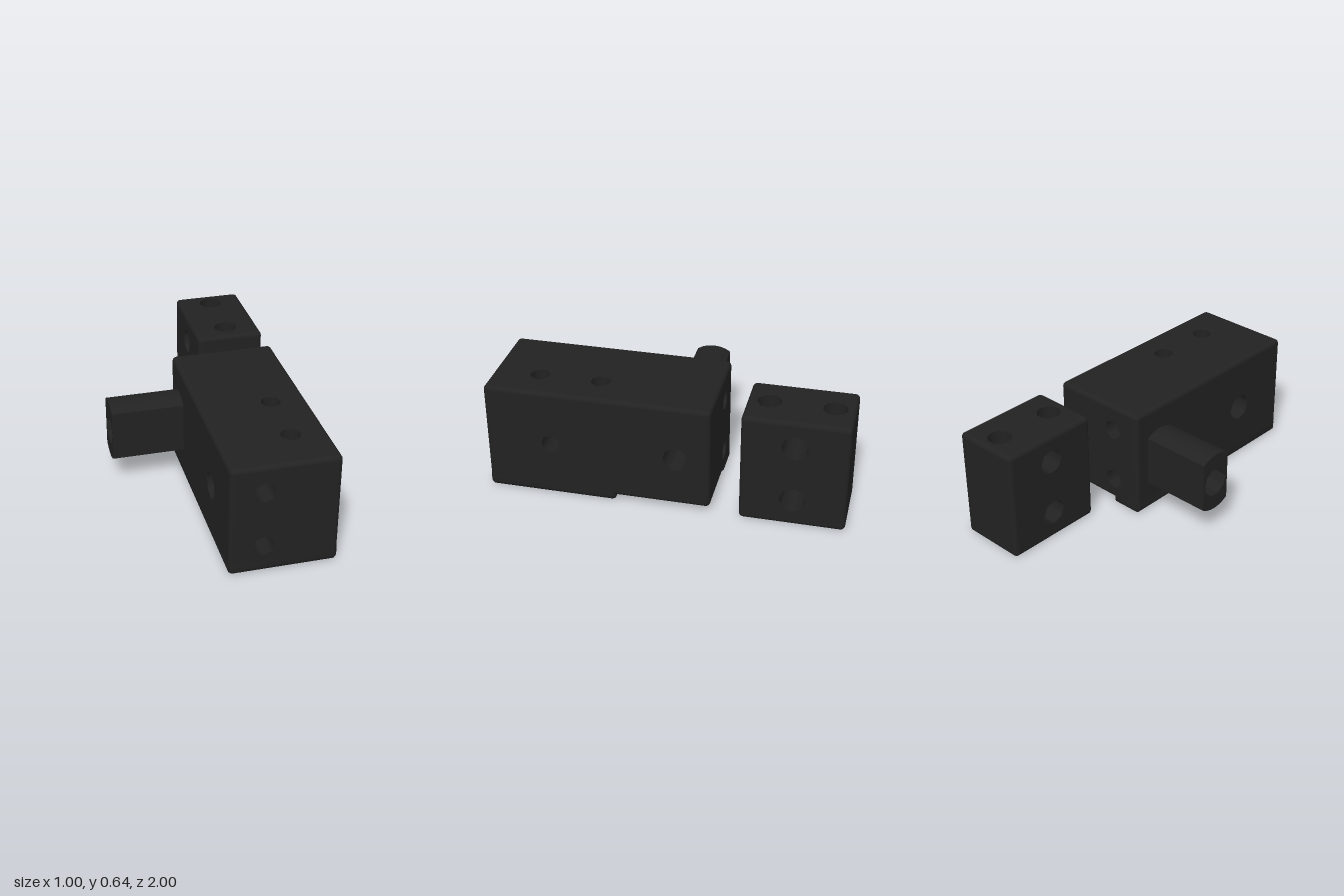
import * as THREE from 'three';
import { toCreasedNormals } from 'three/addons/utils/BufferGeometryUtils.js';
import { RoundedBoxGeometry } from 'three/addons/geometries/RoundedBoxGeometry.js';

const R = 0.025; // edge rounding
const material = new THREE.MeshStandardMaterial({ color: 0x222222, side: THREE.DoubleSide });
const V2 = (x, y) => new THREE.Vector2(x, y);

// Right-handed frame whose third axis is the given axis (0 x, 1 y, 2 z), pointing along sign.
function frame(axis, sign = 1) {
  const unit = (i, s) => new THREE.Vector3().setComponent(i % 3, s);
  return new THREE.Matrix4().makeBasis(unit(axis + 1, 1), unit(axis + 2, sign), unit(axis, sign));
}

function add(group, name, geometry) {
  const mesh = new THREE.Mesh(geometry, material);
  mesh.name = name;
  group.add(mesh);
  return mesh;
}

// Keeps only the triangles whose three normals do not all pass the test.
function dropFaces(source, test) {
  const g = source.index ? source.toNonIndexed() : source;
  const p = g.attributes.position, n = g.attributes.normal, pos = [], nor = [];
  const normal = new THREE.Vector3();
  for (let i = 0; i < p.count; i += 3) {
    const ids = [i, i + 1, i + 2];
    if (ids.every((k) => test(normal.fromBufferAttribute(n, k)))) continue;
    for (const k of ids) {
      pos.push(p.getX(k), p.getY(k), p.getZ(k));
      nor.push(n.getX(k), n.getY(k), n.getZ(k));
    }
  }
  const out = new THREE.BufferGeometry();
  out.setAttribute('position', new THREE.Float32BufferAttribute(pos, 3));
  out.setAttribute('normal', new THREE.Float32BufferAttribute(nor, 3));
  return out;
}

const circle = (u, v, r, n) => Array.from({ length: n }, (_, i) => {
  const a = (i / n) * Math.PI * 2;
  return V2(u + r * Math.sin(a), v - r * Math.cos(a));
});

// Flat face with holes punched through it.
function panel(axis, sign, at, outline, holes) {
  const shape = new THREE.Shape(outline.map((p) => V2(p.x, p.y * sign)));
  for (const h of holes) shape.holes.push(new THREE.Path(circle(h.u, h.v * sign, h.r, h.n)));
  return new THREE.ShapeGeometry(shape).translate(0, 0, at * sign).applyMatrix4(frame(axis, sign));
}

// Wall of a drilled hole, with a floor disc or step ring where it ends inside the block.
function bore(group, h) {
  const wall = new THREE.CylinderGeometry(h.r, h.r, h.to - h.from, h.n, 1, true);
  wall.rotateX(Math.PI / 2).translate(h.u, h.v, (h.from + h.to) / 2).applyMatrix4(frame(h.axis));
  add(group, 'holeWall', wall);
  if (h.floor === undefined) return;
  const shape = new THREE.Shape(circle(h.u, h.v, h.r, h.n));
  if (h.inner) shape.holes.push(new THREE.Path(circle(h.u, h.v, h.inner, h.n)));
  const floor = new THREE.ShapeGeometry(shape).translate(0, 0, h.floor);
  add(group, 'holeFloor', floor.applyMatrix4(frame(h.axis)));
}

// Rounded block: soft edges, six punched faces, and the hole walls.
function block(name, min, max, holes) {
  const group = new THREE.Group();
  group.name = name;
  const size = max.map((m, i) => m - min[i]);
  const mid = max.map((m, i) => (m + min[i]) / 2);
  const edges = dropFaces(new RoundedBoxGeometry(...size, 3, R),
    (n) => Math.max(Math.abs(n.x), Math.abs(n.y), Math.abs(n.z)) > 0.999);
  add(group, 'roundedEdges', edges.translate(...mid));
  for (let axis = 0; axis < 3; axis++) {
    const a = (axis + 1) % 3, b = (axis + 2) % 3;
    const [u0, u1, v0, v1] = [min[a] + R, max[a] - R, min[b] + R, max[b] - R];
    const outline = [V2(u0, v0), V2(u1, v0), V2(u1, v1), V2(u0, v1)];
    for (const sign of [-1, 1]) {
      const at = sign > 0 ? max[axis] : min[axis];
      const open = holes.filter((h) => h.axis === axis && (sign > 0 ? h.to >= at : h.from <= at));
      add(group, 'face', panel(axis, sign, at, outline, open));
    }
  }
  holes.forEach((h) => bore(group, h));
  return group;
}

// L-shaped foot outline (u = z, v = x), optionally inset, with trimmed outer corners.
function footOutline(inset) {
  const corners = [[-0.26, -0.09, 1, 1], [1, -0.09, -1, 1], [1, 0.5, -1, -1],
    [0.27, 0.5, 1, -1], [0.27, 0.1, 1, -1], [-0.26, 0.1, 1, -1]]
    .map(([u, v, su, sv]) => V2(u + su * inset, v + sv * inset));
  const trim = 0.6 * (R - inset) + 0.0002;
  return corners.flatMap((c, i) => {
    if (i === 4) return [c];
    return [corners[(i + 5) % 6], corners[(i + 1) % 6]].map((other) =>
      c.clone().add(other.clone().sub(c).setLength(trim)));
  });
}

export function createModel() {
  const model = new THREE.Group();

  // Main block with lengthwise, upright and crosswise holes
  const upright = [0.39, 0.735].map((u) => ({ axis: 1, u, v: 0.305, r: 0.055, n: 10, from: 0, to: 0.64 }));
  const main = block('mainBlock', [-0.09, 0.035, -0.26], [0.5, 0.64, 1], [
    ...upright,
    ...[0.16, 0.487].map((v) => ({ axis: 2, u: 0.095, v, r: 0.057, n: 8, from: -0.26, to: 1 })),
    { axis: 0, u: 0.322, v: 0.63, r: 0.053, n: 8, from: 0.01, to: 0.5 },
    { axis: 0, u: 0.322, v: 0.63, r: 0.08, n: 8, from: -0.09, to: 0.01, floor: 0.01, inner: 0.053 },
    { axis: 0, u: 0.322, v: -0.07, r: 0.07, n: 10, from: 0, to: 0.5, floor: 0 },
  ]);
  model.add(main);

  // Foot under the main block, leaving a shallow notch at the rear
  const foot = new THREE.ExtrudeGeometry(new THREE.Shape(footOutline(0)), {
    depth: 0.09 - 2 * R, bevelThickness: R, bevelSize: R, bevelOffset: -R, bevelSegments: 3,
  });
  foot.translate(0, 0, R).clearGroups();
  foot.deleteAttribute('uv');
  const sides = toCreasedNormals(dropFaces(foot, (n) => Math.abs(n.z) > 0.999), 0.8);
  add(main, 'footSides', sides.applyMatrix4(frame(1)));
  add(main, 'footUnderside', panel(1, -1, 0, footOutline(R), upright));

  // Separate rear block
  model.add(block('rearBlock', [0.11, 0, -1], [0.5, 0.64, -0.42], [
    ...[-0.89, -0.54].map((u) => ({ axis: 1, u, v: 0.305, r: 0.067, n: 10, from: 0, to: 0.64 })),
    ...[0.16, 0.487].map((u) => ({ axis: 0, u, v: -0.71, r: 0.073, n: 8, from: 0.11, to: 0.5 })),
  ]));

  // Side shaft: round bar with two flats and a bored end
  const half = Math.asin(0.098 / 0.175);
  const outline = [];
  for (const base of [0, Math.PI]) {
    for (let i = -3; i <= 3; i++) {
      const a = base + (half * i) / 3;
      outline.push(V2(0.323 + 0.175 * Math.cos(a), -0.073 + 0.175 * Math.sin(a)));
    }
  }
  const section = new THREE.Shape(outline);
  section.holes.push(new THREE.Path(circle(0.323, -0.073, 0.088, 10)));
  const shaft = new THREE.ExtrudeGeometry(section, { depth: 0.41, bevelEnabled: false });
  shaft.translate(0, 0, -0.5);
  add(model, 'sideShaft', toCreasedNormals(shaft, 0.35).applyMatrix4(frame(0)));

  return model;
}
